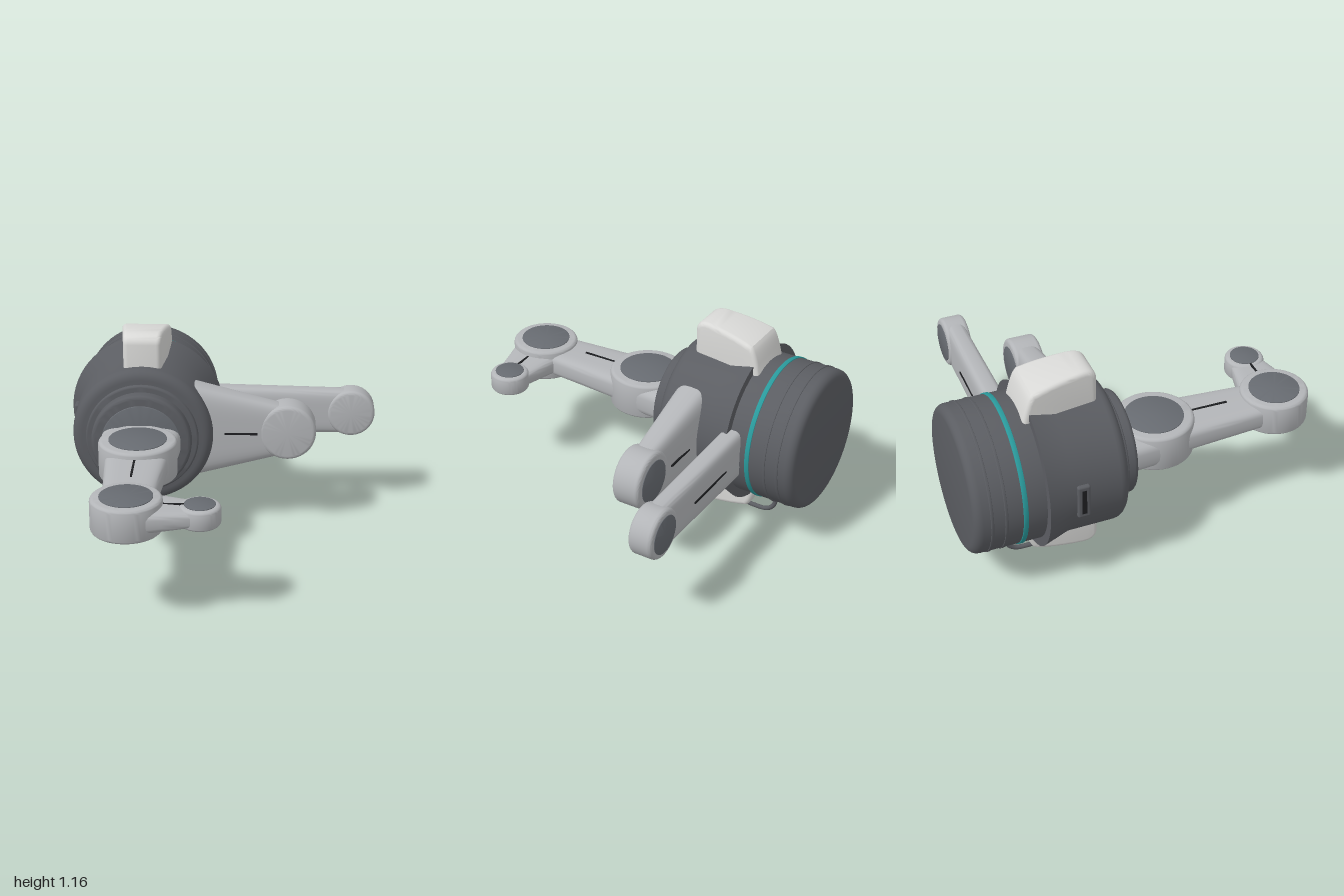
import * as THREE from 'three';
import { toCreasedNormals } from 'three/addons/utils/BufferGeometryUtils.js';
import { RoundedBoxGeometry } from 'three/addons/geometries/RoundedBoxGeometry.js';

const CX = -0.432, CY = 0.59; // axis of the round body

export function createModel() {
  const paint = (name, color) => Object.assign(new THREE.MeshStandardMaterial({ color }), { name });
  const shell = paint('fin pale grey', 0xd9d9d7);
  const grey = paint('arm grey', 0xb3b5b8);
  const dark = paint('body dark grey', 0x5b5d62);
  const padGrey = paint('pad grey', 0x676b71);
  const teal = paint('teal', 0x2a9a9c);
  const black = paint('seam black', 0x1d1e21);

  const root = new THREE.Group();
  const add = (parent, name, geometry, material, x = 0, y = 0, z = 0) => {
    const mesh = new THREE.Mesh(geometry, material);
    mesh.name = name;
    mesh.position.set(x, y, z);
    parent.add(mesh);
    return mesh;
  };
  const subgroup = (name, x, y, z) => {
    const g = new THREE.Group();
    g.name = name;
    g.position.set(x, y, z);
    root.add(g);
    return g;
  };

  // Turned solid about z from [radius, z] points, listed back to front
  const turned = (points, segments = 64) => {
    const g = new THREE.LatheGeometry(points.map(([r, z]) => new THREE.Vector2(r, z)), segments);
    return toCreasedNormals(g.rotateX(Math.PI / 2), 0.6);
  };
  // Quarter-round corner points between two angles
  const corner = (r, z, b, a0) => Array.from({ length: 6 }, (_, i) => {
    const a = a0 + (i / 5) * Math.PI / 2;
    return [r + b * Math.cos(a), z + b * Math.sin(a)];
  });
  const drum = (r, z0, z1, b) => turned([
    [0, z0], ...corner(r - b, z0 + b, b, -Math.PI / 2), ...corner(r - b, z1 - b, b, 0), [0, z1],
  ]);

  // Body: rear can, flared front housing and stepped nose
  const body = subgroup('body', CX, CY, 0);
  add(body, 'rearCan', drum(0.393, -1, -0.58, 0.045), dark);
  add(body, 'flaredHousing', turned([
    [0, -0.622], [0.441, -0.622], [0.395, -0.48], [0.393, -0.225], ...corner(0.338, -0.225, 0.055, 0), [0, -0.17],
  ]), dark);
  add(body, 'noseStep', drum(0.315, -0.2, -0.147, 0.012), dark);
  add(body, 'nose', drum(0.279, -0.2, -0.083, 0.022), dark);
  add(body, 'noseDisc', drum(0.222, -0.1, -0.077, 0.004), padGrey);
  add(body, 'tealBand', drum(0.398, -0.748, -0.722, 0.003), teal);
  for (const z of [-0.91, -0.835]) add(body, 'rearRib', drum(0.397, z - 0.008, z + 0.008, 0.003), dark);
  add(body, 'sideSlotFrame', new RoundedBoxGeometry(0.03, 0.2, 0.07, 3, 0.012), dark, -0.39, 0, -0.43);
  add(body, 'sideSlot', new THREE.BoxGeometry(0.008, 0.15, 0.025), black, -0.402, 0, -0.43);

  // Fins: rounded side profile, narrowing toward the front
  const fin = (front, back) => {
    const s = new THREE.Shape();
    const b = 0.025;
    // u = distance behind z = 0, v = height above the body axis
    s.moveTo(0.245 + b, 0.33);
    s.lineTo(0.245 + b, 0.515);
    s.quadraticCurveTo(0.247 + b, 0.572 - b, 0.33, 0.571 - b);
    s.quadraticCurveTo(0.48, 0.558 - b, 0.585, 0.525 - b);
    s.quadraticCurveTo(0.63 - b, 0.505 - b, 0.66 - b, 0.35);
    s.lineTo(0.64 - b, 0.33);
    s.closePath();
    const g = new THREE.ExtrudeGeometry(s, {
      depth: 2 - 2 * b, bevelEnabled: true, bevelSize: b, bevelThickness: b, bevelSegments: 4, curveSegments: 10,
    });
    g.translate(0, 0, -(1 - b));
    const p = g.attributes.position;
    for (let i = 0; i < p.count; i++) {
      const t = THREE.MathUtils.clamp((p.getX(i) - 0.245) / 0.4, 0, 1);
      const half = THREE.MathUtils.lerp(front, back, t);
      const z = p.getZ(i);
      // the outer bevel keeps its thickness, the flat sides are drawn in
      p.setZ(i, Math.sign(z) * (half - (1 - Math.abs(z))));
    }
    return toCreasedNormals(g.rotateY(Math.PI / 2), 0.6);
  };
  add(body, 'topFin', fin(0.103, 0.145), shell);
  add(body, 'bottomFin', fin(0.1, 0.105), shell).rotation.z = Math.PI;

  // Cable and plug below the body
  const v = (y, z) => new THREE.Vector3(CX, y, z);
  const path = new THREE.CatmullRomCurve3([
    v(0.12, -0.735), v(0.06, -0.725), v(0.022, -0.685), v(0.014, -0.62), v(0.024, -0.55), v(0.07, -0.51),
  ]);
  add(root, 'cable', new THREE.TubeGeometry(path, 32, 0.013, 10), dark);
  add(root, 'plug', new RoundedBoxGeometry(0.05, 0.12, 0.055, 3, 0.014), dark, CX, 0.155, -0.733);

  // Tapered limb: rounded-rectangle sections [half width, half thickness] from a to b
  const limb = (a, b, s0, s1) => {
    const sides = 40, rings = 6, pos = [], idx = [];
    const len = Math.hypot(b[0] - a[0], b[1] - a[1]);
    const round = (c) => Math.sign(c) * Math.abs(c) ** 0.5;
    for (let i = 0; i <= rings; i++) {
      const t = i / rings;
      const w = s0[0] + (s1[0] - s0[0]) * t, h = s0[1] + (s1[1] - s0[1]) * t;
      for (let j = 0; j < sides; j++) {
        const q = (j / sides) * Math.PI * 2;
        pos.push(len * t, w * round(Math.cos(q)), h * round(Math.sin(q)));
        if (i === rings) continue;
        const k = i * sides + j, n = i * sides + (j + 1) % sides;
        idx.push(k, n, n + sides, k, n + sides, k + sides);
      }
    }
    // end caps
    for (let j = 1; j < sides - 1; j++) {
      const e = rings * sides;
      idx.push(0, j + 1, j, e, e + j, e + j + 1);
    }
    const g = new THREE.BufferGeometry();
    g.setAttribute('position', new THREE.Float32BufferAttribute(pos, 3));
    g.setIndex(idx);
    g.rotateZ(Math.atan2(b[1] - a[1], b[0] - a[0])).translate(a[0], a[1], 0);
    return toCreasedNormals(g, 0.8);
  };
  // Joint drum with a dark pad on one face
  const joint = (arm, x, y, r, half, padR, side) => {
    add(arm, 'joint', drum(r, -half, half, 0.022), grey, x, y);
    add(arm, 'jointPad', drum(padR, -0.004, 0.004, 0.001), padGrey, x, y, side * half);
  };
  // Thin seam strips on both faces of a limb
  const seams = (arm, x, y, len, half, angle = 0) => {
    for (const s of [-1, 1]) {
      add(arm, 'seam', new THREE.BoxGeometry(len, 0.011, 0.008), black, x, y, s * half).rotation.z = angle;
    }
  };

  // Front arm, lying flat: local y points backward
  const front = subgroup('frontArm', CX, CY + 0.003, 0);
  front.rotation.x = -Math.PI / 2;
  add(front, 'shoulderLink', limb([0, 0.12], [0, -0.11], [0.222, 0.095], [0.205, 0.092]), grey);
  joint(front, 0, -0.11, 0.214, 0.105, 0.158, 1);
  add(front, 'upperLink', limb([0, -0.11], [0, -0.81], [0.178, 0.078], [0.128, 0.068]), grey);
  seams(front, 0, -0.43, 0.2, 0.074, Math.PI / 2);
  joint(front, 0, -0.81, 0.185, 0.092, 0.137, 1);
  add(front, 'tipLink', limb([0, -0.81], [0.37, -0.81], [0.175, 0.07], [0.088, 0.042]), grey);
  seams(front, 0.245, -0.81, 0.12, 0.053);
  joint(front, 0.37, -0.81, 0.108, 0.055, 0.08, 1);

  // Broad side arm
  const broad = subgroup('broadSideArm', 0, CY, -0.332);
  add(broad, 'taperedLink', limb([-0.2, 0], [0.375, 0], [0.285, 0.112], [0.14, 0.066]), grey);
  seams(broad, 0.09, 0, 0.24, 0.09);
  joint(broad, 0.378, 0, 0.16, 0.08, 0.118, -1);

  // Slim rear side arm
  const slim = subgroup('slimSideArm', 0, CY, -0.628);
  add(slim, 'slimLink', limb([-0.2, 0], [0.745, 0], [0.147, 0.065], [0.13, 0.058]), grey);
  seams(slim, 0.27, 0, 0.33, 0.062);
  joint(slim, 0.745, 0, 0.137, 0.068, 0.105, -1);

  return root;
}
